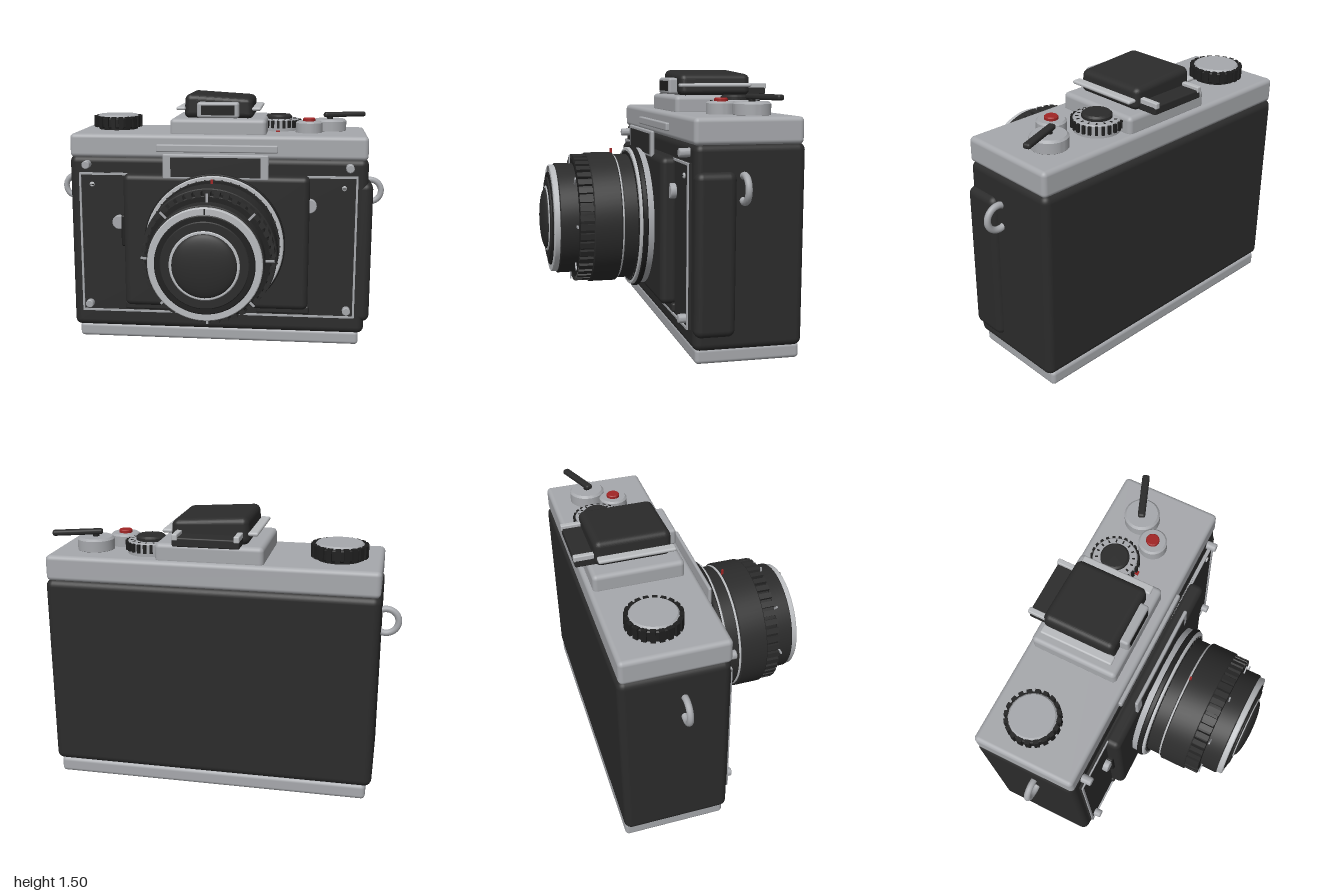
import * as THREE from 'three';
import { toCreasedNormals, mergeGeometries } from 'three/addons/utils/BufferGeometryUtils.js';
import { RoundedBoxGeometry } from 'three/addons/geometries/RoundedBoxGeometry.js';

const mat = (name, color) => Object.assign(new THREE.MeshStandardMaterial({ color }), { name });

export function createModel() {
  const model = new THREE.Group();
  model.name = 'camera';
  const silver = mat('satin silver', 0xa6a8ac);
  const chrome = mat('bright chrome', 0xb9bbbe);
  const black = mat('black leather', 0x2b2b2b);
  const dark = mat('dark trim', 0x1f1f1f);
  const red = mat('red', 0xa02424);

  const add = (name, geo, material, parent = model) => {
    const m = new THREE.Mesh(geo, material);
    m.name = name;
    parent.add(m);
    return m;
  };
  // Rounded box given by its limits on each axis
  const box = (name, x0, x1, y0, y1, z0, z1, r, material, parent) => {
    const g = r ? new RoundedBoxGeometry(x1 - x0, y1 - y0, z1 - z0, 4, r)
      : new THREE.BoxGeometry(x1 - x0, y1 - y0, z1 - z0);
    g.translate((x0 + x1) / 2, (y0 + y1) / 2, (z0 + z1) / 2);
    return add(name, g, material, parent);
  };
  // Bevelled disc along y from h0 to h1
  const discGeo = (r, h0, h1, b = 0.006, seg = 64) => toCreasedNormals(new THREE.LatheGeometry(
    [[0, h0], [r - b, h0], [r, h0 + b], [r, h1 - b], [r - b, h1], [0, h1]]
      .map(p => new THREE.Vector2(...p)), seg), 0.5);
  // Ring of small blocks around the y axis
  const blocksGeo = (n, r, w, h0, h1, depth) => {
    const list = [];
    for (let i = 0; i < n; i++) {
      const g = new THREE.BoxGeometry(w, h1 - h0, depth);
      g.translate(0, (h0 + h1) / 2, r);
      list.push(g.rotateY(i / n * Math.PI * 2));
    }
    return mergeGeometries(list);
  };
  const group = (name, x, y, z) => {
    const g = new THREE.Group();
    g.name = name;
    g.position.set(x, y, z);
    model.add(g);
    return g;
  };

  // Body shell
  box('body', -0.89, 0.89, 0.075, 1.14, -0.62, -0.033, 0.04, black);
  box('basePlate', -0.86, 0.86, 0, 0.085, -0.615, -0.05, 0.022, silver);
  box('topCover', -0.885, 0.885, 1.13, 1.27, -0.61, -0.03, 0.025, silver);
  box('grip', 0.8, 0.92, 0.15, 1, -0.25, -0.033, 0.04, black);
  box('topCoverBar', -0.36, 0.36, 1.17, 1.215, -0.04, -0.01, 0.008, silver);

  // Front panel with a thin metal border
  box('frontPanel', -0.83, 0.83, 0.18, 1.04, -0.04, -0.018, 0, black);
  for (const s of [-1, 1]) {
    box('panelBorderSide', s * 0.823 - 0.006, s * 0.823 + 0.006, 0.18, 1.04, -0.03, -0.01, 0, silver);
    const y = s > 0 ? 1.034 : 0.186;
    box('panelBorderEdge', -0.829, 0.829, y - 0.006, y + 0.006, -0.03, -0.01, 0, silver);
    box('lowerTrim', s * 0.4 - 0.16, s * 0.4 + 0.16, 0.2, 0.25, -0.03, 0, 0.012, black);
  }

  // Screws, and two front buttons partly behind the mount plate
  const stud = (name, x, y, r, z0, z1, material) =>
    add(name, discGeo(r, z0, z1, 0.004, 24).rotateX(Math.PI / 2).translate(x, y, 0), material);
  for (const s of [-1, 1]) {
    stud('upperScrew', s * 0.78, 1.09, 0.024, -0.04, 0.024, silver);
    stud('lowerScrew', s * 0.78, 0.23, 0.024, -0.02, 0.024, silver);
    stud('panelScrew', s * 0.75, 0.97, 0.015, -0.02, -0.008, chrome);
    box('screwSlot', s * 0.75 - 0.012, s * 0.75 + 0.012, 0.968, 0.972, -0.008, -0.006, 0, dark);
  }
  stud('frontButton', -0.585, 0.745, 0.042, -0.02, 0.015, silver);
  stud('frontButton', 0.55, 0.865, 0.042, -0.02, 0.015, silver);
  box('timerLever', -0.572, -0.53, 0.6, 0.79, -0.02, 0.02, 0.01, dark);

  // Lens mount plate and viewfinder window
  box('mountPlate', -0.55, 0.55, 0.24, 1.045, -0.04, 0.06, 0.035, black);
  box('windowFrame', -0.31, 0.31, 1.02, 1.168, 0.04, 0.06, 0.009, silver);
  box('windowGlass', -0.263, 0.263, 1.035, 1.15, 0.056, 0.064, 0, black);

  // Strap lugs
  for (const s of [-1, 1]) {
    add('strapLug', new THREE.TorusGeometry(0.068, 0.018, 12, 40).translate(s * 0.914, 0.915, -0.283), silver);
  }

  // Lens, built along y and turned to face the front
  const lens = group('lens', 0, 0.65, 0);
  lens.rotation.x = Math.PI / 2;
  const rings = [
    ['mountRing', 0.4, 0.05, 0.098, silver],
    ['flangeRing', 0.414, 0.095, 0.125, dark],
    ['flangeFace', 0.405, 0.12, 0.14, chrome],
    ['scaleBand', 0.385, 0.13, 0.143, dark],
    ['rearBarrel', 0.363, 0.13, 0.22, black],
    ['barrelRing', 0.367, 0.218, 0.232, chrome],
    ['focusBarrel', 0.377, 0.23, 0.388, black],
    ['gripCore', 0.35, 0.38, 0.465, dark],
    ['frontBarrel', 0.318, 0.46, 0.568, black],
    ['frontRing', 0.31, 0.565, 0.6, chrome],
    ['frontInset', 0.272, 0.59, 0.606, dark],
    ['innerStep', 0.24, 0.6, 0.614, black],
    ['glassRing', 0.19, 0.61, 0.62, chrome],
  ];
  for (const [name, r, a, b, m] of rings) add(name, discGeo(r, a, b, 0.005, 72), m, lens);
  add('gripRibs', blocksGeo(44, 0.354, 0.032, 0.385, 0.465, 0.03), black, lens);
  add('scaleMarks', blocksGeo(48, 0.381, 0.008, 0.142, 0.146, 0.012), black, lens);
  add('apertureMarks', blocksGeo(8, 0.316, 0.012, 0.474, 0.482, 0.1), silver, lens);
  add('frontElement', new THREE.SphereGeometry(0.176, 48, 12, 0, Math.PI * 2, 0, Math.PI / 2)
    .scale(1, 0.2, 1).translate(0, 0.618, 0), black, lens);
  box('indexMark', -0.006, 0.006, 1, 1.052, 0.228, 0.24, 0, red);
  box('frontIndexMark', -0.004, 0.004, 0.925, 0.955, 0.598, 0.603, 0, dark);

  // Viewfinder hump: base, slanted head, front window, side rails and eyepiece
  box('humpBase', -0.287, 0.287, 1.25, 1.36, -0.585, -0.085, 0.025, silver);
  const head = new RoundedBoxGeometry(0.42, 0.145, 0.415, 5, 0.035);
  const p = head.attributes.position;
  for (let i = 0; i < p.count; i++) {
    const t = (p.getY(i) + 0.0725) / 0.145;
    p.setY(i, p.getY(i) - t * (p.getX(i) + 0.21) * 0.06);
    p.setX(i, p.getX(i) * (1 - 0.05 * t));
  }
  head.computeVertexNormals();
  add('finderHead', head.translate(0, 1.432, -0.34), black);
  box('finderWindowFrame', -0.125, 0.125, 1.365, 1.458, -0.15, -0.085, 0.015, silver);
  box('finderWindow', -0.1, 0.1, 1.383, 1.44, -0.09, -0.082, 0, dark);
  for (const s of [-1, 1]) {
    box('sideRail', s * 0.225 - 0.027, s * 0.225 + 0.027, 1.407, 1.428, -0.54, -0.12, 0.01, chrome);
    box('eyepieceRail', s * 0.16 - 0.015, s * 0.16 + 0.015, 1.395, 1.428, -0.655, -0.53, 0.006, chrome);
  }
  box('eyepiece', -0.175, 0.175, 1.362, 1.41, -0.65, -0.53, 0.008, black);

  // Rewind knob
  const knob = group('rewindKnob', -0.657, 0, -0.367);
  add('knobFoot', discGeo(0.12, 1.26, 1.29), dark, knob);
  add('knobCore', discGeo(0.14, 1.283, 1.345), dark, knob);
  add('knobRibs', blocksGeo(20, 0.137, 0.027, 1.285, 1.352, 0.026), dark, knob);
  add('knobTop', discGeo(0.128, 1.34, 1.36, 0.01), silver, knob);

  // Shutter speed dial
  const dial = group('speedDial', 0.35, 0, -0.41);
  add('dialBase', discGeo(0.125, 1.26, 1.34), silver, dial);
  add('dialTeeth', blocksGeo(24, 0.128, 0.016, 1.29, 1.335, 0.02), dark, dial);
  add('dialMarks', blocksGeo(16, 0.103, 0.008, 1.338, 1.342, 0.016), dark, dial);
  add('dialCap', discGeo(0.08, 1.33, 1.365, 0.01), black, dial);
  box('dialIndex', 0.338, 0.362, 1.268, 1.276, -0.285, -0.265, 0, red);

  // Shutter button
  const button = group('shutterButton', 0.537, 0, -0.27);
  add('buttonCollar', discGeo(0.08, 1.26, 1.338, 0.01), silver, button);
  add('buttonCap', discGeo(0.037, 1.33, 1.356, 0.005, 32), red, button);

  // Film advance lever
  const lever = group('advanceLever', 0.665, 0, -0.4);
  add('leverHub', discGeo(0.1, 1.26, 1.34, 0.012), silver, lever);
  const arm = add('leverArm', new RoundedBoxGeometry(0.27, 0.03, 0.042, 4, 0.013), black, lever);
  arm.position.set(0.09, 1.365, -0.035);
  arm.rotation.y = 0.36;
  add('leverPin', discGeo(0.018, 1.33, 1.37, 0.004, 20), dark, lever);

  return model;
}
